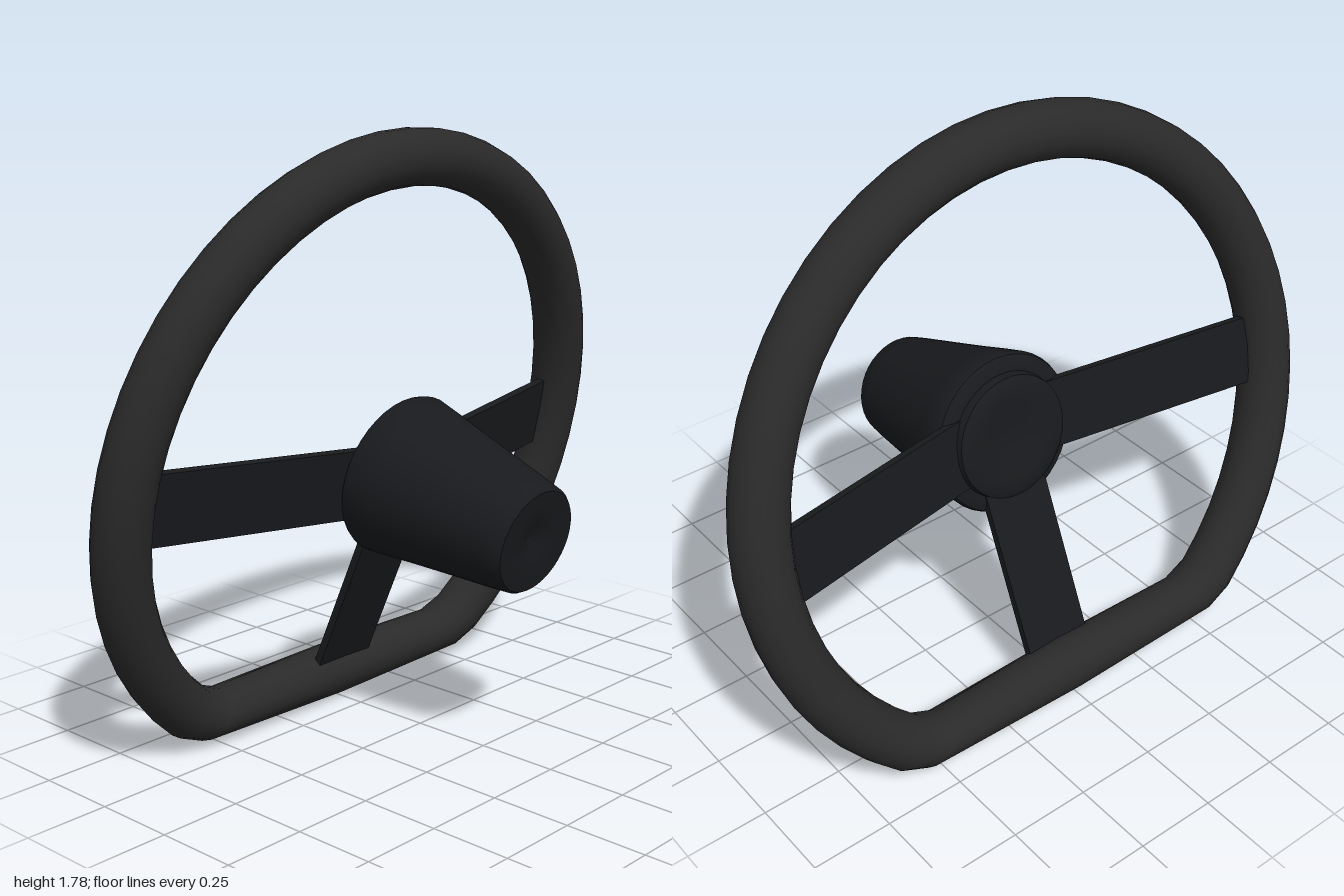
import * as THREE from 'three';
import { toCreasedNormals } from 'three/addons/utils/BufferGeometryUtils.js';

const TUBE = 0.083, RADIUS = 0.917, SIDES = 16;

// Flat-bottomed rim: a round tube swept through a list of rings
function rimGeometry() {
  const rings = [];
  const end = THREE.MathUtils.degToRad(139.6), corner = THREE.MathUtils.degToRad(143.5);
  const steps = 44;
  for (let i = 0; i <= steps; i++) {
    const a = -end + (2 * end * i) / steps;
    rings.push([RADIUS * Math.sin(a), RADIUS * Math.cos(a), a]);
  }
  rings.push([0.51, -0.734, corner], [0, -0.736, Math.PI], [-0.51, -0.734, -corner]);

  const pos = [], index = [];
  rings.forEach(([x, y, a], i) => {
    const next = (i + 1) % rings.length;
    for (let j = 0; j < SIDES; j++) {
      const t = (j / SIDES) * Math.PI * 2, r = TUBE * Math.cos(t);
      pos.push(x + r * Math.sin(a), y + r * Math.cos(a), TUBE * Math.sin(t));
      const k = (j + 1) % SIDES;
      const p = i * SIDES + j, q = i * SIDES + k, s = next * SIDES + j, u = next * SIDES + k;
      index.push(p, q, s, q, u, s);
    }
  });
  const geo = new THREE.BufferGeometry();
  geo.setAttribute('position', new THREE.Float32BufferAttribute(pos, 3));
  geo.setIndex(index);
  geo.computeVertexNormals();
  return geo;
}

export function createModel() {
  const model = new THREE.Group();
  model.name = 'steeringWheel';
  const rimMat = new THREE.MeshStandardMaterial({ color: 0x2a2a2a });
  const hubMat = new THREE.MeshStandardMaterial({ color: 0x181a1d });

  // Everything is built in the wheel plane, then tilted back
  const wheel = new THREE.Group();
  wheel.name = 'tiltedWheel';
  wheel.rotation.x = 0.207;
  wheel.position.set(0, 0.804, -0.228);
  model.add(wheel);

  const rim = new THREE.Mesh(rimGeometry(), rimMat);
  rim.name = 'rim';
  wheel.add(rim);

  // Tapered hub with a stepped back plate and a dimpled front
  const profile = [
    [0, 0.12], [0.06, 0.108], [0.13, 0.1], [0.172, 0.1], [0.188, 0.112], [0.193, 0.138],
    [0.215, 0.138], [0.24, 0.15], [0.246, 0.165], [0.234, 0.24], [0.216, 0.34],
    [0.193, 0.48], [0.172, 0.61], [0.162, 0.665], [0.153, 0.677], [0.1, 0.676],
    [0.05, 0.67], [0, 0.65],
  ].map(([r, y]) => new THREE.Vector2(r, y));
  const hub = new THREE.Mesh(toCreasedNormals(new THREE.LatheGeometry(profile, 40), 0.7), hubMat);
  hub.name = 'hub';
  hub.rotation.x = Math.PI / 2;
  wheel.add(hub);

  // Three flat spokes sloping from the hub back to the rim
  const inner = 0.15, slope = 0.22;
  for (const [name, angle, outer] of [
    ['bottomSpoke', 0, 0.74], ['leftSpoke', Math.PI / 2, 0.88], ['rightSpoke', -Math.PI / 2, 0.88],
  ]) {
    const run = outer - inner, drop = run * slope;
    const pivot = new THREE.Group();
    pivot.name = name;
    pivot.rotation.z = angle;
    const plate = new THREE.Mesh(new THREE.BoxGeometry(0.218, Math.hypot(run, drop), 0.025), hubMat);
    plate.name = name + 'Plate';
    plate.position.set(0, -(inner + outer) / 2, 0.15 - drop / 2);
    plate.rotation.x = Math.atan(slope);
    pivot.add(plate);
    wheel.add(pivot);
  }
  return model;
}
